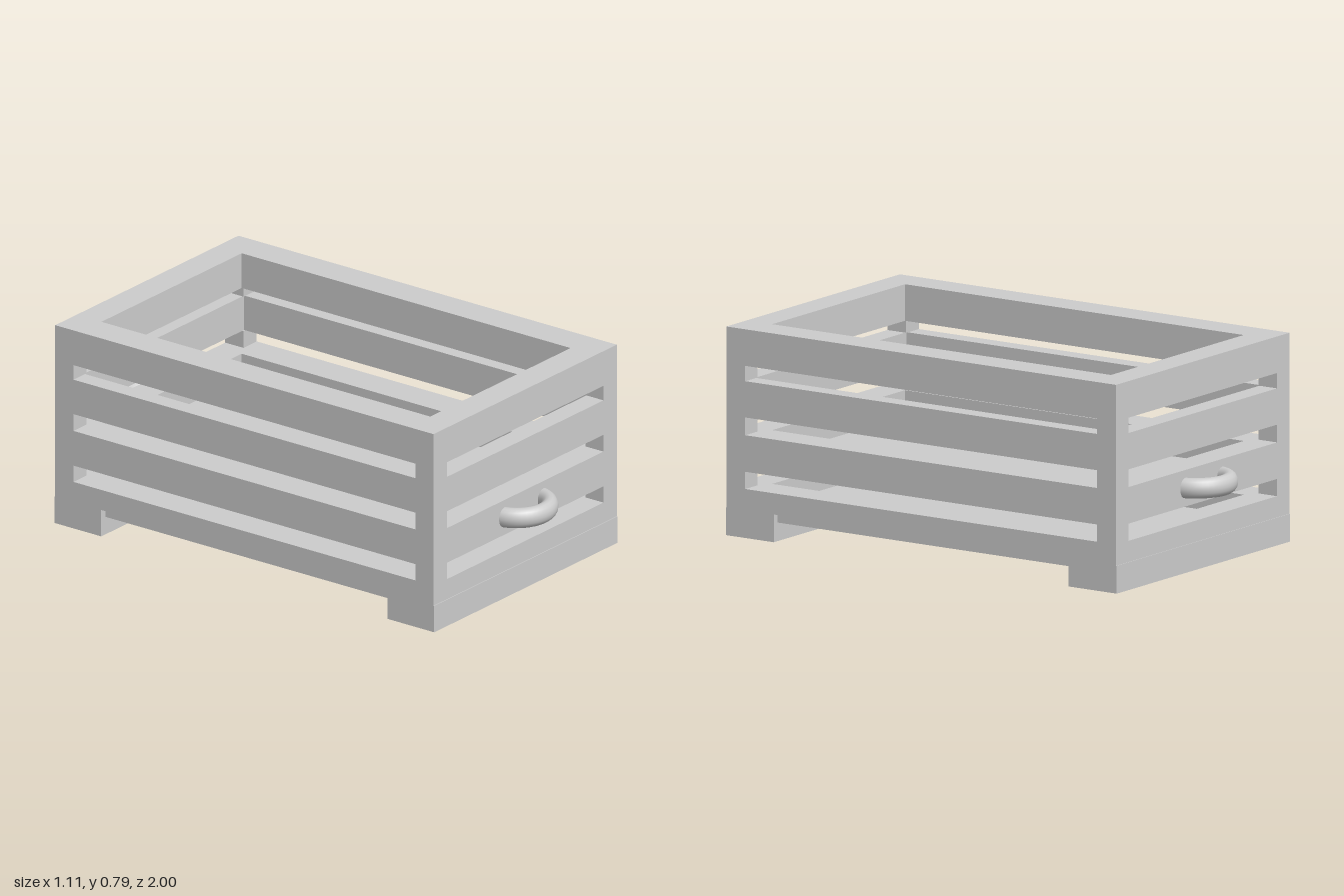
import * as THREE from 'three';

const W = 0.555, D = 0.88; // outer half width and half depth

export function createModel() {
  const crate = new THREE.Group();
  crate.name = 'crate';
  const material = new THREE.MeshStandardMaterial({ color: 0xcccccc });

  const add = (name, geometry, x = 0, y = 0, z = 0) => {
    const mesh = new THREE.Mesh(geometry, material);
    mesh.name = name;
    mesh.position.set(x, y, z);
    crate.add(mesh);
    return mesh;
  };
  const rect = (PathType, w, d) => new PathType([
    new THREE.Vector2(-w, -d), new THREE.Vector2(w, -d),
    new THREE.Vector2(w, d), new THREE.Vector2(-w, d),
  ]);

  // Rings of slats: bottom, top, inner half width, inner half depth
  const rings = [
    [0.105, 0.185, 0.425, 0.765],
    [0.25, 0.388, 0.425, 0.765],
    [0.455, 0.592, 0.485, 0.8], // thinner boards
    [0.65, 0.788, 0.425, 0.765],
  ];
  for (const [bottom, top, innerW, innerD] of rings) {
    const shape = rect(THREE.Shape, W, D);
    shape.holes.push(rect(THREE.Path, innerW, innerD));
    const ring = new THREE.ExtrudeGeometry(shape, { depth: top - bottom, bevelEnabled: false });
    ring.rotateX(-Math.PI / 2);
    add('slatRing', ring, 0, bottom);
  }

  // Corner post pieces filling the gaps between the rings
  for (let i = 1; i < rings.length; i++) {
    const bottom = rings[i - 1][1], top = rings[i][0];
    for (const sx of [-1, 1]) for (const sz of [-1, 1]) {
      add('cornerPost', new THREE.BoxGeometry(0.08, top - bottom, 0.085),
        sx * (W - 0.04), (bottom + top) / 2, sz * (D - 0.0425));
    }
  }

  // Inner floor within the second ring, and the base panel underneath
  add('innerFloor', new THREE.BoxGeometry(0.85, 0.04, 1.53), 0, 0.27, 0);
  add('basePanel', new THREE.BoxGeometry(1.06, 0.035, 1.72), 0, 0.0875, 0);

  for (const s of [-1, 1]) {
    // Full-width foot under each end
    add('foot', new THREE.BoxGeometry(2 * W, 0.105, 0.217), 0, 0.0525, s * 0.7745);

    // Half-ring handle set into each end
    const arc = new THREE.TorusGeometry(0.123, 0.0325, 16, 24, Math.PI);
    arc.rotateX(Math.PI / 2);
    arc.scale(1, 1.2, 1);
    const handle = add('handle', arc, -0.007, 0.32, s * 0.845);
    if (s < 0) handle.rotation.y = Math.PI;
  }
  return crate;
}
